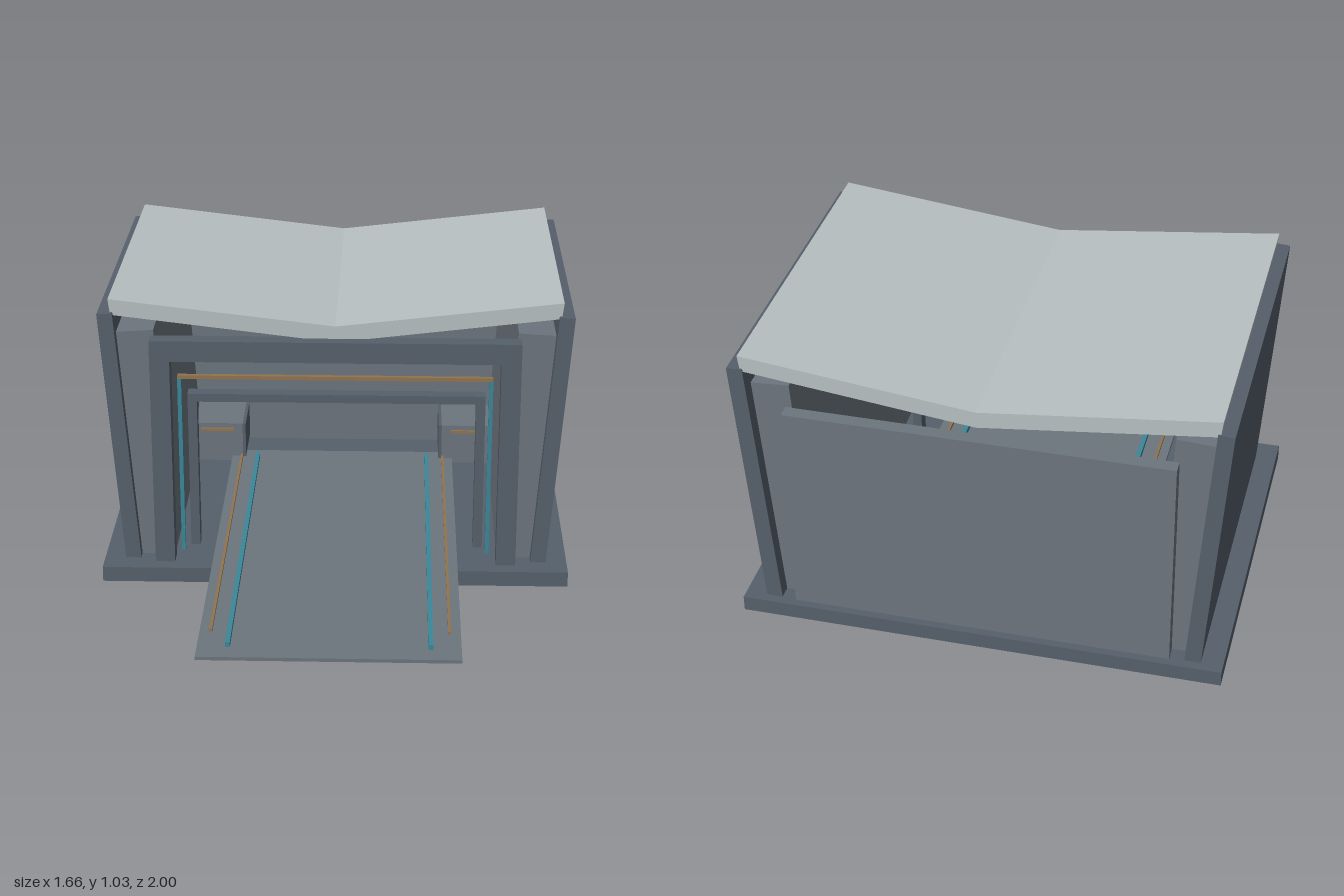
import * as THREE from 'three';

const material = (color) => new THREE.MeshStandardMaterial({ color, flatShading: true });

export function createModel() {
  const model = new THREE.Group();
  const dark = material(0x56606b);
  const mid = material(0x6c757e);
  const light = material(0xb8c0c2);
  const teal = material(0x3a8799);
  const bronze = material(0x92744f);

  // box given by its limits on each axis
  function box(name, mat, [x0, x1], [y0, y1], [z0, z1]) {
    const mesh = new THREE.Mesh(new THREE.BoxGeometry(x1 - x0, y1 - y0, z1 - z0), mat);
    mesh.position.set((x0 + x1) / 2, (y0 + y1) / 2, (z0 + z1) / 2);
    mesh.name = name;
    model.add(mesh);
  }

  // the same box on both sides
  function pair(name, mat, [x0, x1], y, z) {
    box(name + 'Left', mat, [x0, x1], y, z);
    box(name + 'Right', mat, [-x1, -x0], y, z);
  }

  // front outline extruded from z0 to z1
  function prism(name, mat, points, z0, z1) {
    const shape = new THREE.Shape(points.map(([x, y]) => new THREE.Vector2(x, y)));
    const geometry = new THREE.ExtrudeGeometry(shape, { depth: z1 - z0, bevelEnabled: false });
    geometry.translate(0, 0, z0);
    const mesh = new THREE.Mesh(geometry, mat);
    mesh.name = name;
    model.add(mesh);
  }

  // door frame: one outline with two jambs and a lintel
  function doorFrame(name, outer, inner, top, lintel, z0, z1) {
    prism(name, dark, [
      [-outer, 0.055], [-inner, 0.055], [-inner, lintel], [inner, lintel],
      [inner, 0.055], [outer, 0.055], [outer, top], [-outer, top],
    ], z0, z1);
  }

  // base slab and back wall
  box('base', dark, [-0.83, 0.83], [0, 0.055], [-1, 0.3]);
  box('backWall', mid, [-0.65, 0.65], [0.055, 0.83], [-0.972, -0.925]);

  // outward leaning walls with thicker inner walls beside them
  for (const [side, s] of [['Left', 1], ['Right', -1]]) {
    const mirror = (points) => points.map(([x, y]) => [s * x, y]);
    prism('sideWall' + side, dark,
      mirror([[0.7, 0.055], [0.755, 0.05], [0.826, 0.981], [0.772, 0.985]]), -0.967, 0.217);
    prism('innerWall' + side, mid,
      mirror([[0.58, 0.055], [0.7, 0.055], [0.765, 0.905], [0.635, 0.913]]), -0.92, 0.18);
  }

  // shallow V roof
  prism('roof', light, [
    [-0.78, 0.975], [0, 0.882], [0.78, 0.975], [0.787, 1.032], [0, 0.94], [-0.787, 1.032],
  ], -0.963, 0.203);

  // entrance portal and the smaller frame behind it
  doorFrame('portal', 0.645, 0.575, 0.895, 0.82, 0.185, 0.247);
  doorFrame('innerFrame', 0.53, 0.497, 0.645, 0.615, 0.05, 0.1);

  // thin strips around the entrance
  box('portalTopStrip', bronze, [-0.547, 0.547], [0.763, 0.776], [0.245, 0.262]);
  pair('portalSideStrip', teal, [0.534, 0.548], [0.108, 0.763], [0.246, 0.26]);

  // ramp with guide rails
  box('ramp', mid, [-0.437, 0.437], [0.062, 0.074], [-0.75, 1]);
  pair('guideRail', teal, [0.327, 0.343], [0.074, 0.092], [-0.69, 0.93]);
  pair('edgeRail', bronze, [0.394, 0.404], [0.074, 0.084], [-0.69, 0.82]);

  // storage units at the back with a dark end panel and a strip
  pair('storageUnit', mid, [0.395, 0.585], [0.055, 0.213], [-0.92, -0.69]);
  pair('storagePanel', dark, [0.383, 0.395], [0.075, 0.213], [-0.92, -0.685]);
  pair('storageStrip', bronze, [0.43, 0.56], [0.184, 0.194], [-0.69, -0.68]);

  return model;
}
